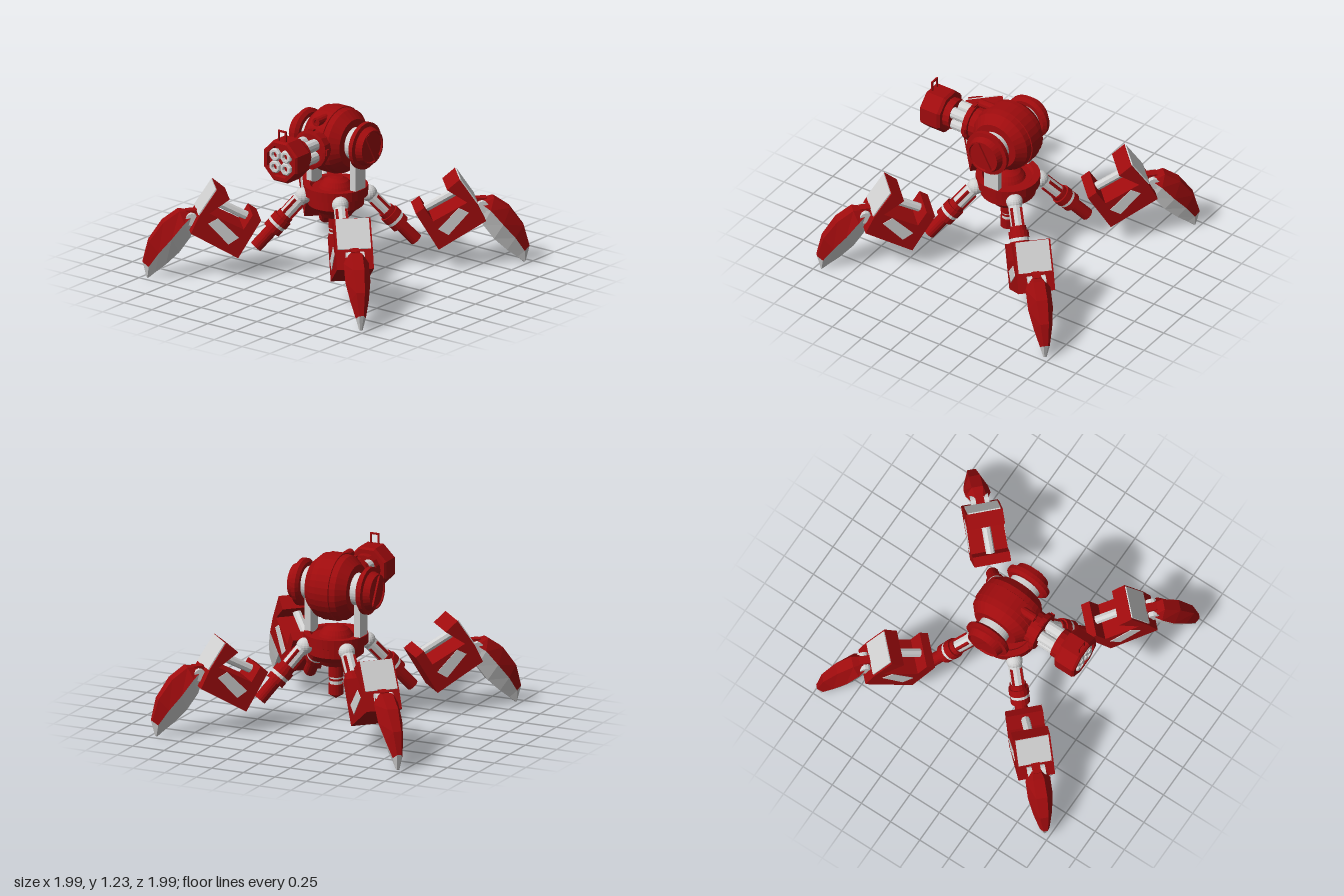
import * as THREE from 'three';

const red = new THREE.MeshStandardMaterial({ color: 0x9f0b0d });
red.name = 'deep red';
red.flatShading = true;
const silver = new THREE.MeshStandardMaterial({ color: 0xd2d2d2 });
silver.name = 'light silver';
silver.flatShading = true;

const V2 = (p) => new THREE.Vector2(p[0], p[1]);

function add(parent, name, geo, mat, x = 0, y = 0, z = 0) {
  const m = new THREE.Mesh(geo, mat);
  m.name = name;
  m.position.set(x, y, z);
  parent.add(m);
  return m;
}
const box = (w, h, d) => new THREE.BoxGeometry(w, h, d);
// Profile of [radius, height], listed from bottom to top
const lathe = (pts, seg = 32, phase = 0) => new THREE.LatheGeometry(pts.map(V2), seg, phase);

// Closed cylinder between two points of the leg plane
function rod(parent, name, mat, a, b, radius, seg = 16) {
  const A = V2(a), B = V2(b), d = B.clone().sub(A);
  const m = add(parent, name, new THREE.CylinderGeometry(radius, radius, d.length(), seg), mat,
    (A.x + B.x) / 2, (A.y + B.y) / 2, 0);
  m.rotation.z = Math.atan2(d.y, d.x) - Math.PI / 2;
  return m;
}

// Side outline in the leg plane, extruded to a centred width
function slab(pts, width) {
  const g = new THREE.ExtrudeGeometry(new THREE.Shape(pts.map(V2)), { depth: width, bevelEnabled: false });
  return g.translate(0, 0, -width / 2);
}

// Claw sections: back, widest line, inner edge, half width
const clawSections = [
  [[1.06, 0.49], [1.04, 0.46], [1.01, 0.40], 0.06],
  [[1.13, 0.50], [1.10, 0.42], [1.05, 0.30], 0.09],
  [[1.245, 0.42], [1.19, 0.31], [1.13, 0.19], 0.09],
  [[1.345, 0.28], [1.28, 0.20], [1.225, 0.10], 0.067],
  [[1.388, 0.12], [1.35, 0.09], [1.30, 0.04], 0.036],
  [[1.36, 0.005], [1.355, 0], [1.345, 0], 0.012],
];

function makeClaw(parent) {
  const rings = clawSections.map(([o, m, i, w]) => [
    [...m, -w], [...o, -0.45 * w], [...o, 0.45 * w], [...m, w], [...i, 0.4 * w], [...i, -0.4 * w]]);
  const shell = [], blade = [];
  for (let s = 0; s < rings.length - 1; s++) {
    for (let k = 0; k < 6; k++) {
      const n = (k + 1) % 6;
      const a = rings[s][k], b = rings[s][n], c = rings[s + 1][k], d = rings[s + 1][n];
      const out = k < 3 && s < rings.length - 2 ? shell : blade;
      out.push(...a, ...b, ...c, ...b, ...d, ...c);
    }
  }
  const first = rings[0], last = rings[rings.length - 1];
  for (let k = 1; k < 5; k++) {
    blade.push(...first[0], ...first[k + 1], ...first[k]);
    blade.push(...last[0], ...last[k], ...last[k + 1]);
  }
  for (const [name, data, mat] of [['clawShell', shell, red], ['clawBlade', blade, silver]]) {
    const g = new THREE.BufferGeometry();
    g.setAttribute('position', new THREE.Float32BufferAttribute(data, 3));
    g.computeVertexNormals();
    add(parent, name, g, mat);
  }
}

// One leg in the x-y plane, reaching out along +x
function makeLeg() {
  const leg = new THREE.Group();
  leg.name = 'leg';

  // Strut from the body down to the leg housing
  const at = (s) => [0.235 + 0.68 * s, 0.565 - 0.735 * s];
  add(leg, 'hipBall', new THREE.SphereGeometry(0.06, 16, 12), silver, 0.235, 0.565, 0);
  rod(leg, 'hipRod', silver, at(0), at(0.2), 0.05, 12);
  const strips = rod(leg, 'hipStrips', silver, at(0.05), at(0.18), 0.02);
  for (let k = 0; k < 4; k++) {
    const a = Math.PI / 4 + k * Math.PI / 2;
    add(strips, 'hipStrip', box(0.024, 0.13, 0.024), red, 0.044 * Math.cos(a), 0, 0.044 * Math.sin(a));
  }
  rod(leg, 'upperCollar', red, at(0.18), at(0.215), 0.06);
  rod(leg, 'lowerCollar', red, at(0.215), at(0.265), 0.073);
  rod(leg, 'collarRing', silver, at(0.265), at(0.29), 0.068);
  rod(leg, 'kneeCollar', red, at(0.29), at(0.335), 0.07);
  rod(leg, 'kneeRod', red, at(0.335), at(0.5), 0.046);

  // Tilted block housing with a notch cut into its upper inner side
  const outline = [[0.87, 0.68], [0.78, 0.605], [0.925, 0.505], [0.68, 0.375], [0.615, 0.48], [0.555, 0.437],
    [0.72, 0.16], [1.06, 0.36], [1.0, 0.485]];
  add(leg, 'housing', slab(outline, 0.266), red);
  const windowShape = [[0.935, 0.43], [0.865, 0.468], [0.715, 0.315], [0.79, 0.268]];
  for (const s of [-1, 1]) add(leg, 'sideWindow', slab(windowShape, 0.006), silver, 0, 0, s * 0.1345);
  const cover = add(leg, 'topCover', box(0.225, 0.009, 0.24), silver, 0.938, 0.586, 0);
  cover.rotation.z = Math.atan2(-0.195, 0.13);
  rod(leg, 'piston', silver, [0.625, 0.425], [0.86, 0.55], 0.032, 8);

  // Ankle and claw
  const ankle = add(leg, 'ankle', new THREE.CylinderGeometry(0.045, 0.045, 0.13, 12), silver, 1.045, 0.44, 0);
  ankle.rotation.x = Math.PI / 2;
  add(leg, 'ankleBlock', box(0.08, 0.05, 0.06), red, 1.04, 0.475, 0);
  makeClaw(leg);
  return leg;
}

function makeBody() {
  const body = new THREE.Group();
  body.name = 'body';
  add(body, 'bodyDisc', lathe([[0, 0.41], [0.11, 0.415], [0.135, 0.45], [0.2, 0.5], [0.2, 0.565], [0.23, 0.575],
    [0.23, 0.645], [0.185, 0.645], [0.17, 0.625], [0, 0.625]]), red);
  add(body, 'bodyDome', lathe([[0.13, 0.62], [0.115, 0.645], [0.09, 0.675], [0.05, 0.697], [0, 0.703]]), red);
  // Pole hanging below the body
  add(body, 'poleTop', new THREE.CylinderGeometry(0.055, 0.055, 0.11, 16), red, 0, 0.375, 0);
  add(body, 'poleCore', new THREE.CylinderGeometry(0.045, 0.045, 0.08, 16), silver, 0, 0.295, 0);
  add(body, 'poleBand', new THREE.CylinderGeometry(0.049, 0.049, 0.014, 16), red, 0, 0.298, 0);
  add(body, 'poleTip', lathe([[0, 0.155], [0.055, 0.19], [0.055, 0.265], [0, 0.265]], 16), red);
  return body;
}

function makeHead() {
  const head = new THREE.Group();
  head.name = 'head';
  head.position.y = 0.985;

  // Round shell turned about the x axis
  const shell = add(head, 'headShell', lathe([[0, -0.165], [0.175, -0.165], [0.232, -0.1], [0.238, -0.055],
    [0.245, -0.052], [0.245, 0.052], [0.238, 0.055], [0.232, 0.1], [0.175, 0.165], [0, 0.165]]), red);
  shell.rotation.z = -Math.PI / 2;

  // Side hubs, caps and fork arms
  for (const s of [-1, 1]) {
    const side = new THREE.Group();
    side.name = s > 0 ? 'leftHub' : 'rightHub';
    side.rotation.y = s > 0 ? 0 : Math.PI;
    head.add(side);
    const hub = add(side, 'hubDisc', new THREE.CylinderGeometry(0.118, 0.118, 0.08, 32), silver, 0.195, 0, 0);
    hub.rotation.z = -Math.PI / 2;
    const cap = add(side, 'hubCap', lathe([[0, 0.225], [0.148, 0.225], [0.172, 0.245], [0.172, 0.275], [0.142, 0.28],
      [0.125, 0.328], [0.115, 0.328], [0.11, 0.318], [0, 0.318]]), red);
    cap.rotation.z = -Math.PI / 2;
    const bar = add(side, 'capBar', box(0.03, 0.235, 0.05), red, 0.317, 0, 0);
    bar.rotation.x = s * 0.5;
    add(side, 'forkArm', box(0.048, 0.37, 0.12), silver, 0.196, -0.18, 0);
  }

  // Small lamp on the brow
  const lamp = add(head, 'browLamp', lathe([[0, 0], [0.032, 0], [0.032, 0.14], [0.016, 0.14], [0.014, 0.13], [0, 0.13]], 12),
    red, 0, 0.185, 0.095);
  lamp.rotation.x = Math.PI / 2;

  // Gun turned about the z axis: lathe height becomes forward distance
  const gun = new THREE.Group();
  gun.name = 'gun';
  gun.rotation.x = Math.PI / 2;
  head.add(gun);
  add(gun, 'gunCollar', lathe([[0, 0.15], [0.12, 0.15], [0.12, 0.265], [0.142, 0.265], [0.142, 0.305], [0.12, 0.31],
    [0, 0.31]], 16), red);
  add(gun, 'muzzleCollar', new THREE.CylinderGeometry(0.113, 0.113, 0.06, 16), red, 0, 0.465, 0);
  add(gun, 'muzzle', lathe([[0, 0.49], [0.15, 0.49], [0.163, 0.51], [0.163, 0.645], [0.15, 0.66], [0.122, 0.66],
    [0.115, 0.635], [0, 0.635]], 8, Math.PI / 8), red);
  // Four barrels, each ending in a ring at the muzzle
  for (const x of [-0.048, 0.048]) for (const z of [-0.045, 0.045]) {
    add(gun, 'barrel', new THREE.CylinderGeometry(0.044, 0.044, 0.16, 12), silver, x, 0.375, z);
    add(gun, 'muzzleRing', lathe([[0.024, 0.635], [0.048, 0.635], [0.048, 0.655], [0.04, 0.662], [0.024, 0.662],
      [0.024, 0.635]], 8, Math.PI / 8), silver, x, 0, z);
  }
  for (let k = 0; k < 4; k++) {
    const a = k * Math.PI / 2;
    const lug = add(gun, 'collarLug', box(0.045, 0.03, 0.02), red, 0.14 * Math.sin(a), 0.285, 0.14 * Math.cos(a));
    lug.rotation.y = a;
  }

  // Sight loop above the muzzle
  for (const s of [-1, 1]) add(head, 'sightPost', box(0.012, 0.085, 0.012), red, s * 0.03, 0.185, 0.628);
  add(head, 'sightBar', box(0.072, 0.012, 0.012), red, 0, 0.223, 0.628);
  return head;
}

export function createModel() {
  const model = new THREE.Group();
  model.name = 'fourLeggedWalker';
  model.add(makeBody(), makeHead());
  for (let k = 0; k < 4; k++) {
    const leg = makeLeg();
    leg.rotation.y = Math.PI / 4 + k * Math.PI / 2;
    model.add(leg);
  }
  return model;
}
